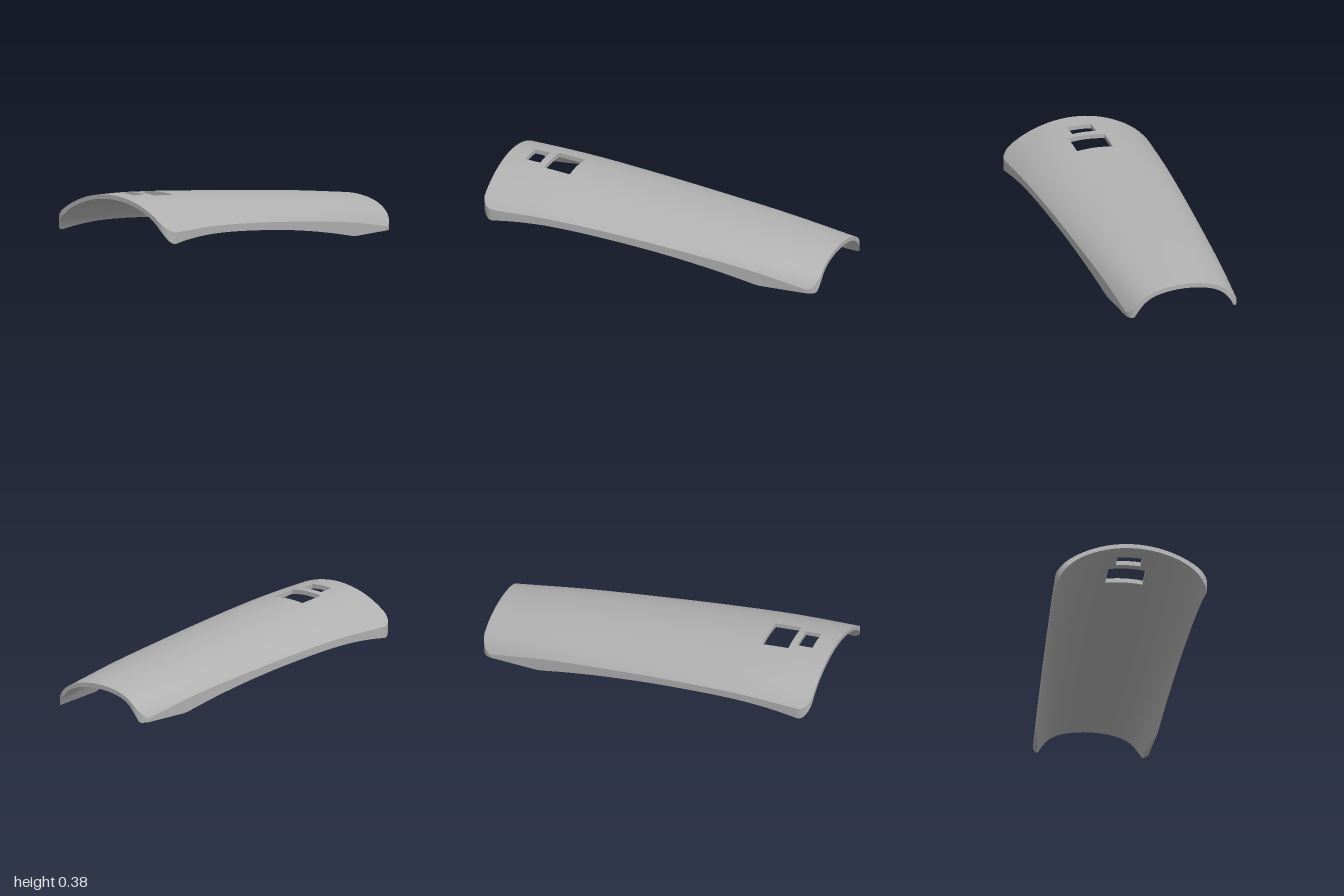
import * as THREE from 'three';
import { toCreasedNormals } from 'three/addons/utils/BufferGeometryUtils.js';

// Stations along the shell: crown height, drop from crown to edge, extra edge thickness
const stationX = [-1, -0.8, -0.6, -0.2, 0.2, 0.6, 1];
const stationData = [
  0.38, 0.178, 0.048,
  0.371, 0.169, 0.026,
  0.355, 0.155, 0.018,
  0.315, 0.141, 0.018,
  0.273, 0.139, 0.026,
  0.228, 0.143, 0.05,
  0.175, 0.165, 0.075,
];
const stations = new THREE.CubicInterpolant(stationX, stationData, 3);

const CORNER = 0.07;
const THICKNESS = 0.025;
// Rectangular openings through the crown: x range and half width
const openings = [
  { x0: -0.885, x1: -0.795, z: 0.07 },
  { x0: -0.755, x1: -0.6, z: 0.105 },
];

const halfWidth = (x) => 0.374 - 0.0535 * x;

// Plan outline with rounded corners
function outline(x) {
  const d = Math.min(1 - Math.abs(x), CORNER);
  return halfWidth(x) - CORNER + Math.sqrt(CORNER ** 2 - (CORNER - d) ** 2);
}

// Heights of the outer and inner skins at a plan position
function heights(x, z) {
  const [crown, drop, extra] = stations.evaluate(x);
  const u = Math.abs(z) / halfWidth(x);
  const round = THREE.MathUtils.lerp(0.85, 0.5, (x + 1) / 2);
  const outer = crown - drop * (round * u ** 2 + (1 - round) * u ** 6);
  return { outer, inner: Math.max(0, outer - THICKNESS - extra * u ** 8) };
}

// Subdivide between successive breakpoints
function subdivide(breaks, step) {
  const out = [breaks[0]];
  for (let i = 1; i < breaks.length; i++) {
    const a = breaks[i - 1], b = breaks[i];
    const n = Math.ceil((b - a) / step - 1e-6);
    for (let k = 1; k <= n; k++) out.push(a + ((b - a) * k) / n);
  }
  return out;
}

function shellGeometry() {
  // Rows along x, closely spaced around the rounded corners
  const corner = [];
  for (let k = 0; k < 8; k++) corner.push(1 - CORNER * (1 - Math.cos((k / 8) * Math.PI / 2)));
  const middle = subdivide([-1 + CORNER, -0.885, -0.795, -0.755, -0.6, 1 - CORNER], 0.03);
  const xs = [...corner.map((x) => -x), ...middle, ...corner.slice().reverse()];

  // Columns across z: fixed lines at the openings, then a fan out to the edge
  const inner = subdivide([-0.105, -0.07, 0.07, 0.105], 0.035);
  const FAN = 20;
  const columns = (x) => {
    const side = [];
    for (let k = 1; k <= FAN; k++) {
      const t = k / FAN;
      side.push(0.105 + (outline(x) - 0.105) * (1.4 * t - 0.4 * t * t));
    }
    return [...side.slice().reverse().map((z) => -z), ...inner, ...side];
  };

  const top = [], under = [];
  for (const x of xs) {
    const zs = columns(x);
    top.push(zs.map((z) => [x, heights(x, z).outer, z]));
    under.push(zs.map((z) => [x, heights(x, z).inner, z]));
  }
  const rows = xs.length - 1;
  const cols = top[0].length - 1;

  // A cell is solid unless it lies in an opening or off the plan
  const solid = (i, j) => {
    if (i < 0 || j < 0 || i >= rows || j >= cols) return false;
    const x = (xs[i] + xs[i + 1]) / 2;
    const z = (top[i][j][2] + top[i][j + 1][2]) / 2;
    return !openings.some((o) => x > o.x0 && x < o.x1 && Math.abs(z) < o.z);
  };

  const positions = [];
  const quad = (a, b, c, d) => positions.push(...a, ...b, ...c, ...a, ...c, ...d);
  const wall = (i0, j0, i1, j1) => quad(top[i0][j0], under[i0][j0], under[i1][j1], top[i1][j1]);

  for (let i = 0; i < rows; i++) {
    for (let j = 0; j < cols; j++) {
      if (!solid(i, j)) continue;
      quad(top[i][j], top[i][j + 1], top[i + 1][j + 1], top[i + 1][j]);
      quad(under[i][j], under[i + 1][j], under[i + 1][j + 1], under[i][j + 1]);
      // Upright cut faces wherever the shell stops
      if (!solid(i - 1, j)) wall(i, j, i, j + 1);
      if (!solid(i, j + 1)) wall(i, j + 1, i + 1, j + 1);
      if (!solid(i + 1, j)) wall(i + 1, j + 1, i + 1, j);
      if (!solid(i, j - 1)) wall(i + 1, j, i, j);
    }
  }

  const geometry = new THREE.BufferGeometry();
  geometry.setAttribute('position', new THREE.Float32BufferAttribute(positions, 3));
  return toCreasedNormals(geometry, 0.35);
}

export function createModel() {
  const group = new THREE.Group();
  group.name = 'curvedCover';
  const grey = new THREE.MeshStandardMaterial({ color: 0xb0b0b0 });
  grey.name = 'plainGrey';
  const shell = new THREE.Mesh(shellGeometry(), grey);
  shell.name = 'coverShell';
  group.add(shell);
  return group;
}
